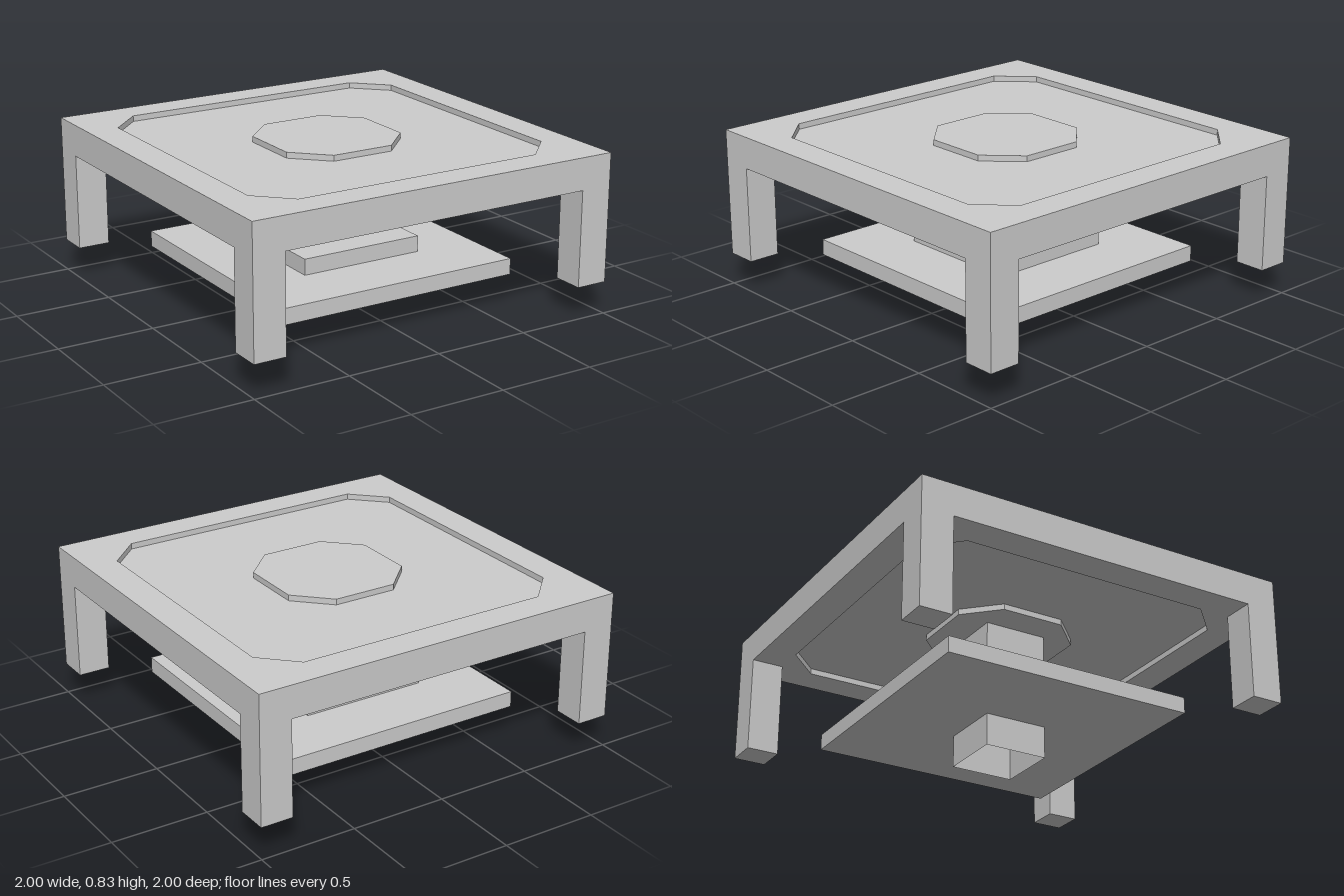
import * as THREE from 'three';

const U = 1 / 6;        // base module of the design
const RECESS = 0.03;    // depth of the shallow panel recess

export function createModel() {
  const model = new THREE.Group();
  model.name = 'pedestalTable';
  const material = new THREE.MeshStandardMaterial({ color: 0xcccccc, flatShading: true });
  const openMaterial = material.clone();
  openMaterial.side = THREE.DoubleSide;

  const add = (name, geometry, mat = material) => {
    const mesh = new THREE.Mesh(geometry, mat);
    mesh.name = name;
    model.add(mesh);
    return mesh;
  };
  const box = (name, w, y0, y1, x = 0, z = 0) =>
    add(name, new THREE.BoxGeometry(w, y1 - y0, w)).position.set(x, (y0 + y1) / 2, z);

  // Square with cut corners: half width r, straight side half length s
  const octagon = (r, s) => [[r, -s], [r, s], [s, r], [-s, r], [-r, s], [-r, -s], [-s, -r], [s, -r]]
    .map(([x, y]) => new THREE.Vector2(x, y));
  const slab = (name, shape, y0, y1) => {
    const g = new THREE.ExtrudeGeometry(shape, { depth: y1 - y0, bevelEnabled: false });
    add(name, g.rotateX(-Math.PI / 2).translate(0, y0, 0));
  };

  // Table top: square frame, panel sunk on both faces, raised centre boss
  const frame = new THREE.Shape([[-1, -1], [1, -1], [1, 1], [-1, 1]].map(([x, y]) => new THREE.Vector2(x, y)));
  frame.holes.push(new THREE.Path(octagon(5 * U, 4 * U)));
  slab('topFrame', frame, 4 * U, 5 * U);

  const panel = new THREE.Shape(octagon(5 * U, 4 * U));
  panel.holes.push(new THREE.Path(octagon(2 * U, U)));
  slab('recessedPanel', panel, 4 * U + RECESS, 5 * U - RECESS);
  slab('centreBoss', new THREE.Shape(octagon(2 * U, U)), 4 * U, 5 * U);

  // Corner legs
  for (const x of [-1, 1]) for (const z of [-1, 1])
    box('leg', U, U, 4 * U, x * 5.5 * U, z * 5.5 * U);

  // Column, stepped shelves
  box('column', 2 * U, 2 * U, 4 * U);
  box('upperShelf', 4 * U, 1.5 * U, 2 * U);
  box('lowerShelf', 8 * U, U, 1.5 * U);

  // Foot: four thin walls, open underneath
  const foot = new THREE.CylinderGeometry(U * Math.SQRT2, U * Math.SQRT2, U, 4, 1, true);
  add('foot', foot.rotateY(Math.PI / 4).translate(0, U / 2, 0), openMaterial);

  return model;
}
